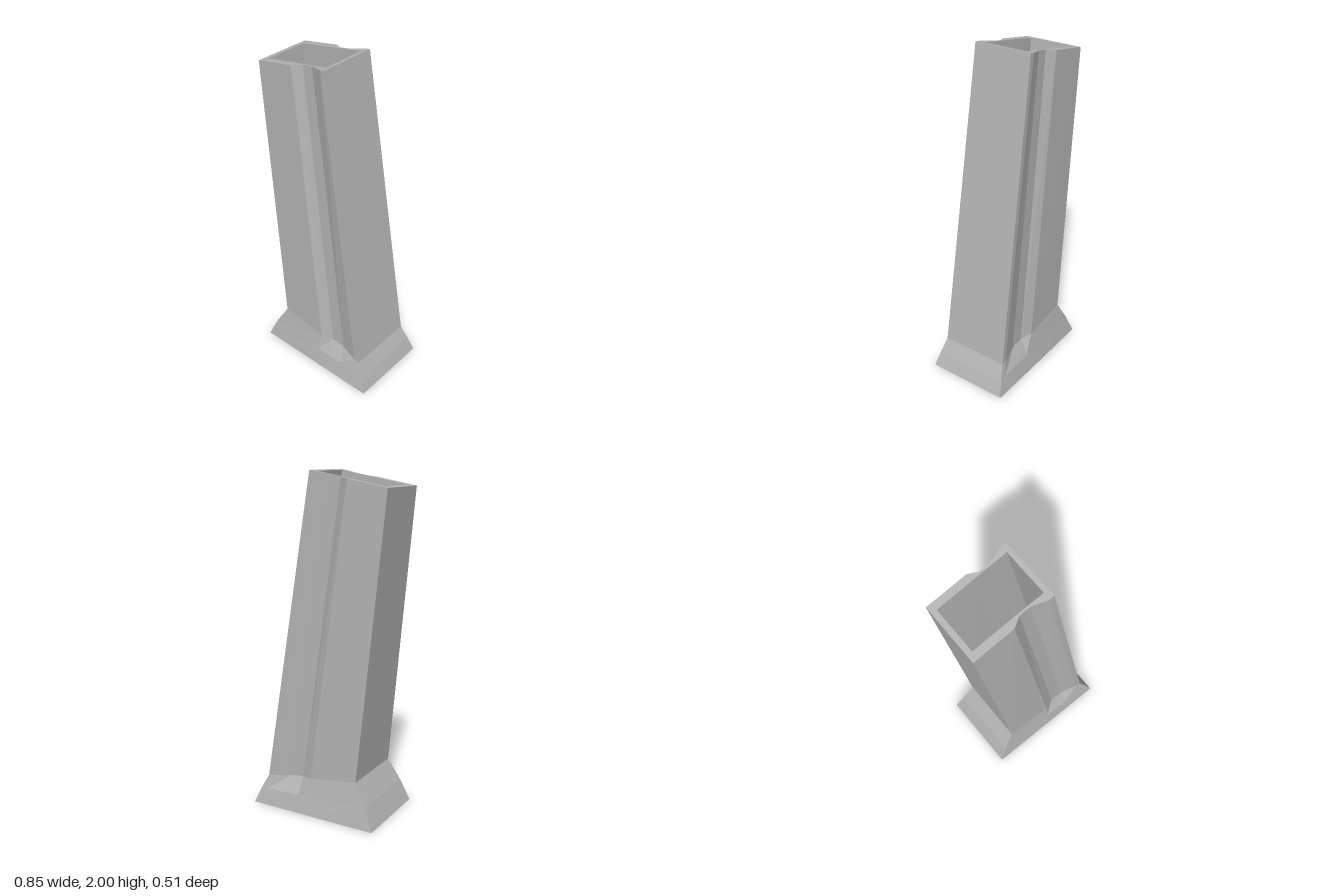
import * as THREE from 'three';

// Ring of 12 points: front edge left to right, then back edge right to left.
// y runs in a straight line from yl at the left end to yr at the right end.
function ring(xs, yl, yr, front, back) {
  const yAt = x => yl + (yr - yl) * (x - xs[0]) / (xs[5] - xs[0]);
  const f = xs.map((x, i) => [x, yAt(x), front[i]]);
  const b = xs.map((x, i) => [x, yAt(x), back[i]]);
  return [...f, ...b.reverse()];
}

function faceted(build) {
  const pos = [];
  build((a, b, c, d) => pos.push(...a, ...b, ...c, ...a, ...c, ...d));
  const g = new THREE.BufferGeometry();
  g.setAttribute('position', new THREE.Float32BufferAttribute(pos, 3));
  g.computeVertexNormals();
  return g;
}

// Skin between successive rings
const loft = rings => faceted(quad => {
  for (let k = 0; k < rings.length - 1; k++) {
    const lo = rings[k], hi = rings[k + 1];
    for (let i = 0; i < 12; i++) {
      const j = (i + 1) % 12;
      quad(lo[i], lo[j], hi[j], hi[i]);
    }
  }
});

// Flat cap across one ring
const cap = (r, up) => faceted(quad => {
  for (let i = 0; i < 5; i++) {
    const q = [r[i], r[i + 1], r[10 - i], r[11 - i]];
    quad(...(up ? q : q.reverse()));
  }
});

export function createModel() {
  const model = new THREE.Group();
  const grey = new THREE.MeshStandardMaterial({ color: 0xb4b4b4, flatShading: true });
  grey.name = 'grey';
  const add = (name, geometry) => {
    const mesh = new THREE.Mesh(geometry, grey);
    mesh.name = name;
    model.add(mesh);
  };
  const flat = z => Array(6).fill(z);

  // Flared foot, shoulder and grooved leaning shaft
  const base = ring([-0.39, 0.0, 0.11, 0.2, 0.36, 0.42], 0, 0, flat(0.255), flat(-0.255));
  const flare = ring([-0.335, 0.03, 0.115, 0.2, 0.34, 0.382], 0.13, 0.095, flat(0.232), flat(-0.232));
  const dip = [0.21, 0.212, 0.183, 0.183, 0.211, 0.212];
  const shoulder = ring([-0.26, 0.04, 0.11, 0.195, 0.305, 0.34], 0.26, 0.18, dip, dip.map(z => -z));
  const top = ring([-0.427, -0.185, -0.13, -0.065, 0.02, 0.05], 1.915, 2,
    [0.165, 0.168, 0.137, 0.137, 0.17, 0.171], [-0.193, -0.189, -0.157, -0.157, -0.184, -0.185]);

  // Mouth and floor of the hollow
  const mouth = ring([-0.396, -0.185, -0.13, -0.065, 0.0, 0.023], 1.92, 1.995,
    [0.12, 0.123, 0.124, 0.125, 0.127, 0.127], [-0.148, -0.146, -0.145, -0.144, -0.143, -0.143]);
  const floor = ring([-0.218, 0.04, 0.11, 0.195, 0.27, 0.3], 0.22, 0.19, flat(0.124), flat(-0.145));

  add('foot', loft([base, flare, shoulder]));
  add('shaft', loft([shoulder, top]));
  add('rim', loft([top, mouth]));
  add('innerWalls', loft([mouth, floor]));
  add('innerFloor', cap(floor, true));
  add('underside', cap(base, false));
  return model;
}
